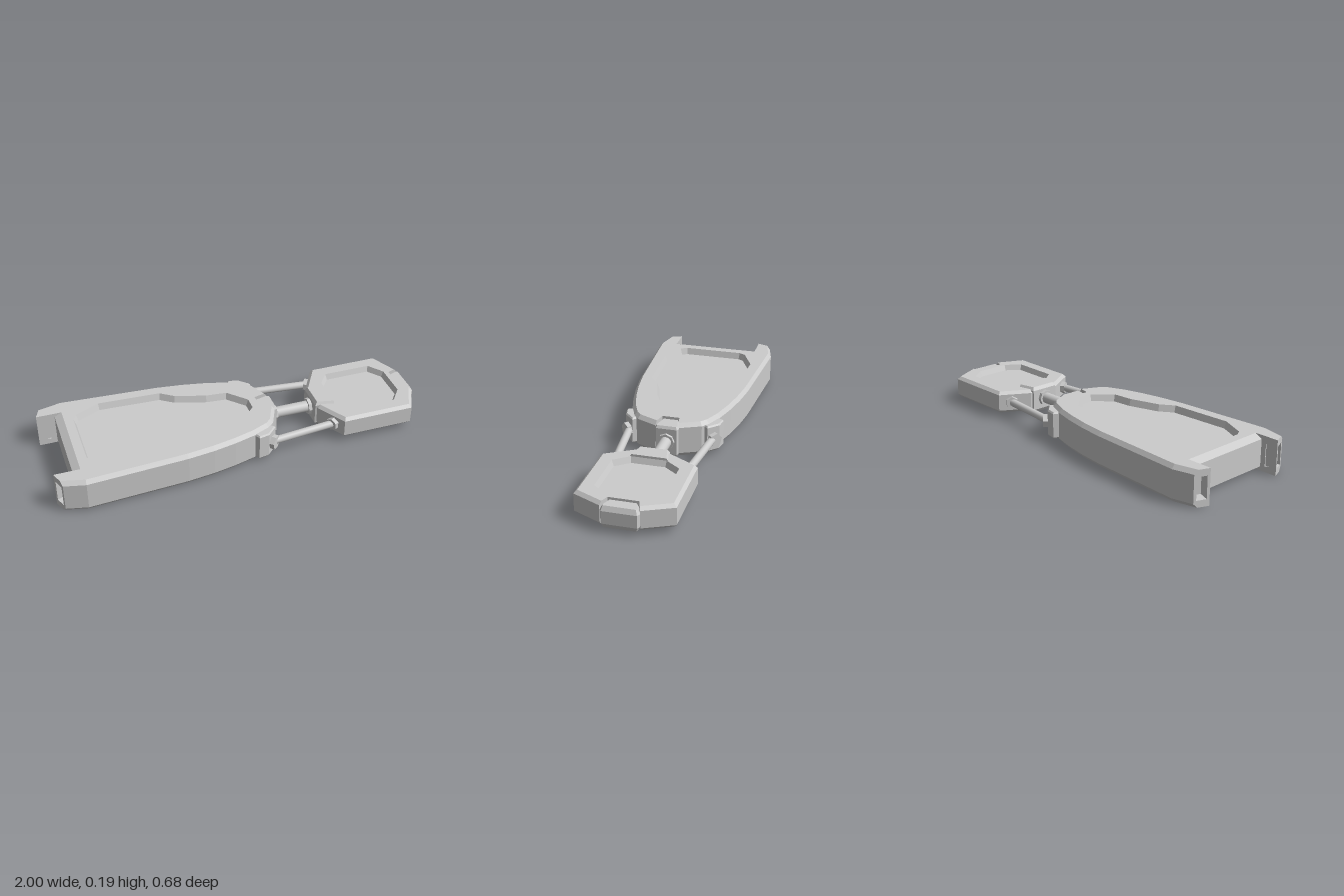
import * as THREE from 'three';
import { mergeGeometries } from 'three/addons/utils/BufferGeometryUtils.js';

const material = new THREE.MeshStandardMaterial({ color: 0xcccccc, flatShading: true });

// Plan outlines are [x, s] lists, counter-clockwise, with z = -s.
// Completes a half outline (s > 0, ordered front to rear) by mirroring it.
const mirrored = half => [...half, ...half.map(([x, s]) => [x, -s]).reverse()];
const flip = pts => pts.map(([x, s]) => [x, -s]).reverse();

// Moves each edge inward by its own distance and intersects the neighbours.
function inset(pts, dist) {
  const n = pts.length;
  const d = i => (typeof dist === 'number' ? dist : dist[i]);
  const line = i => {
    const a = pts[i], b = pts[(i + 1) % n];
    const l = Math.hypot(b[0] - a[0], b[1] - a[1]);
    const nx = -(b[1] - a[1]) / l, ny = (b[0] - a[0]) / l;
    return [nx, ny, nx * a[0] + ny * a[1] + d(i)];
  };
  return pts.map((p, i) => {
    const [a, b, e] = line((i + n - 1) % n), [c, f, g] = line(i);
    const det = a * f - b * c;
    return [(e * f - b * g) / det, (a * g - e * c) / det];
  });
}

const ring = (pts, y) => pts.map(([x, s]) => new THREE.Vector3(x, y, -s));

// Skins consecutive rings with quads; skip lists edges left open.
function skin(rings, skip = []) {
  const pos = [];
  for (let r = 0; r + 1 < rings.length; r++) {
    const a = rings[r], b = rings[r + 1], n = a.length;
    for (let i = 0; i < n; i++) {
      if (skip.includes(i)) continue;
      const j = (i + 1) % n;
      for (const v of [a[i], a[j], b[j], a[i], b[j], b[i]]) pos.push(v.x, v.y, v.z);
    }
  }
  return fromPositions(pos);
}

function fromPositions(pos) {
  const g = new THREE.BufferGeometry();
  g.setAttribute('position', new THREE.Float32BufferAttribute(pos, 3));
  g.computeVertexNormals();
  return g;
}

// Flat cap at height y, optionally with a hole or facing down.
function cap(pts, y, { hole = null, down = false } = {}) {
  const v = p => p.map(([x, s]) => new THREE.Vector2(x, s));
  const outer = v(pts), holes = hole ? [v(hole).reverse()] : [];
  const all = [...outer, ...holes.flat()];
  const pos = [];
  for (const tri of THREE.ShapeUtils.triangulateShape(outer, holes)) {
    for (const k of down ? [...tri].reverse() : tri) pos.push(all[k].x, y, -all[k].y);
  }
  return fromPositions(pos);
}

// Prism with chamfered lower and upper edges and an optional sunken tray on top.
function slab(pts, { y0, y1, cut, rise, tray = null, depth = 0, slope = 0.012, skip = [] }) {
  const small = inset(pts, cut);
  const parts = [
    skin([ring(small, y0), ring(pts, y0 + rise)]),
    skin([ring(pts, y0 + rise), ring(pts, y1 - rise)], skip),
    skin([ring(pts, y1 - rise), ring(small, y1)]),
    cap(small, y0, { down: true }),
    cap(small, y1, { hole: tray }),
  ];
  if (tray) {
    const floor = inset(tray, slope);
    parts.push(skin([ring(tray, y1), ring(floor, y1 - depth)]), cap(floor, y1 - depth));
  }
  return mergeGeometries(parts);
}

// Socket in a vertical face running from a to b in plan.
function socket(a, b, y0, y1, border, depth) {
  const dx = b[0] - a[0], ds = b[1] - a[1], l = Math.hypot(dx, ds);
  const at = (m, k) => [[m, m], [l - m, m], [l - m, -m], [m, -m]].map(([u, e], i) =>
    new THREE.Vector3(a[0] + (dx * u - ds * k) / l, (i < 2 ? y0 : y1) + e, -(a[1] + (ds * u + dx * k) / l)));
  const back = at(border, depth);
  const floor = [0, 1, 2, 0, 2, 3].flatMap(i => back[i].toArray());
  return mergeGeometries([skin([at(0, 0), at(border, 0), back]), fromPositions(floor)]);
}

export function createModel() {
  const model = new THREE.Group();
  const add = (name, geometry, mat = material) => {
    const mesh = new THREE.Mesh(geometry, mat);
    mesh.name = name;
    model.add(mesh);
    return mesh;
  };
  const smooth = new THREE.MeshStandardMaterial({ color: 0xcccccc });
  // Cylinder between two points
  const bar = (name, a, b, radius, sides, mat) => {
    const p = new THREE.Vector3(...a), q = new THREE.Vector3(...b);
    const mesh = add(name, new THREE.CylinderGeometry(radius, radius, p.distanceTo(q), sides), mat);
    mesh.position.copy(p).add(q).multiplyScalar(0.5);
    mesh.quaternion.setFromUnitVectors(new THREE.Vector3(0, 1, 0), q.sub(p).normalize());
  };

  // Main body: tapered hull with two rear prongs and a front notch
  const hull = mirrored([
    [0.13, 0.045], [0.205, 0.062], [0.155, 0.17], [0.12, 0.2], [0.03, 0.238], [-0.08, 0.268],
    [-0.2, 0.292], [-0.34, 0.31], [-0.86, 0.341], [-0.97, 0.315], [-1, 0.24], [-0.905, 0.24],
  ]);
  const c = 0.017;
  const hullCut = [0, c, c, c, c, c, c, c, c, 0, 0, 0.038, 0, 0, c, c, c, c, c, c, c, c, 0, 0];
  const bodyTray = mirrored([
    [0.09, 0.035], [0, 0.13], [-0.11, 0.14], [-0.27, 0.19],
    [-0.34, 0.24], [-0.67, 0.255], [-0.8, 0.195], [-0.82, 0.16],
  ]);
  const ends = [9, 13];
  add('body', slab(hull, {
    y0: 0, y1: 0.185, cut: hullCut, rise: 0.021, tray: bodyTray, depth: 0.035, skip: ends,
  }));
  for (const i of ends) add('prongSocket', socket(hull[i], hull[i + 1], 0.021, 0.164, 0.014, 0.06));

  // Nose insert filling the notch
  add('nose', slab(mirrored([[0.22, 0.055], [0.2, 0.062], [0.12, 0.043]]),
    { y0: 0.002, y1: 0.171, cut: 0.008, rise: 0.014 }));

  // Front pod: octagon with a sunken tray and raised rear block
  const pod = mirrored([
    [0.93, 0.075], [0.985, 0.095], [0.915, 0.244], [0.53, 0.244], [0.44, 0.09],
  ]);
  const p = 0.016;
  add('pod', slab(pod, {
    y0: 0.026, y1: 0.148, cut: [0, p, p, p, p, p, p, p, 0, 0], rise: 0.016,
    tray: mirrored([[0.905, 0.09], [0.845, 0.168], [0.59, 0.168], [0.53, 0.09]]), depth: 0.03,
  }));
  add('podFrontInsert', slab(mirrored([[1, 0.085], [0.98, 0.094], [0.92, 0.072]]),
    { y0: 0.024, y1: 0.137, cut: 0.012, rise: 0.024 }));
  add('podRearBlock', slab([[0.53, -0.1], [0.53, 0.1], [0.43, 0.078], [0.43, -0.078]],
    { y0: 0.013, y1: 0.16, cut: [0, 0.012, 0.012, 0.012], rise: 0.018 }));

  // Central shaft with collars
  const y = 0.09;
  bar('centreShaft', [0.2, y, 0], [0.45, y, 0], 0.03, 20, smooth);
  bar('shaftCollar', [0.21, y, 0], [0.235, y, 0], 0.044, 8);
  bar('shaftCollar', [0.412, y, 0], [0.445, y, 0], 0.044, 8);

  // Side struts with hinge blocks and nuts
  const hinge = flip([[0.03, -0.225], [0.05, -0.262], [0.105, -0.252], [0.158, -0.2], [0.12, -0.16]].reverse()).reverse();
  const block = THREE.ShapeUtils.area(hinge.map(([x, s]) => new THREE.Vector2(x, s))) > 0 ? hinge : hinge.reverse();
  for (const side of [1, -1]) {
    add('hingeBlock', slab(side > 0 ? flip(block) : block, { y0: 0.02, y1: 0.165, cut: 0.006, rise: 0.008 }));
    bar('hingeNut', [0.125, y, side * 0.218], [0.15, y, side * 0.243], 0.038, 6);
    bar('sideStrut', [0.12, y, side * 0.225], [0.5, y, side * 0.185], 0.02, 16, smooth);
    bar('podNut', [0.498, y, side * 0.18], [0.474, y, side * 0.194], 0.034, 6);
  }
  return model;
}
